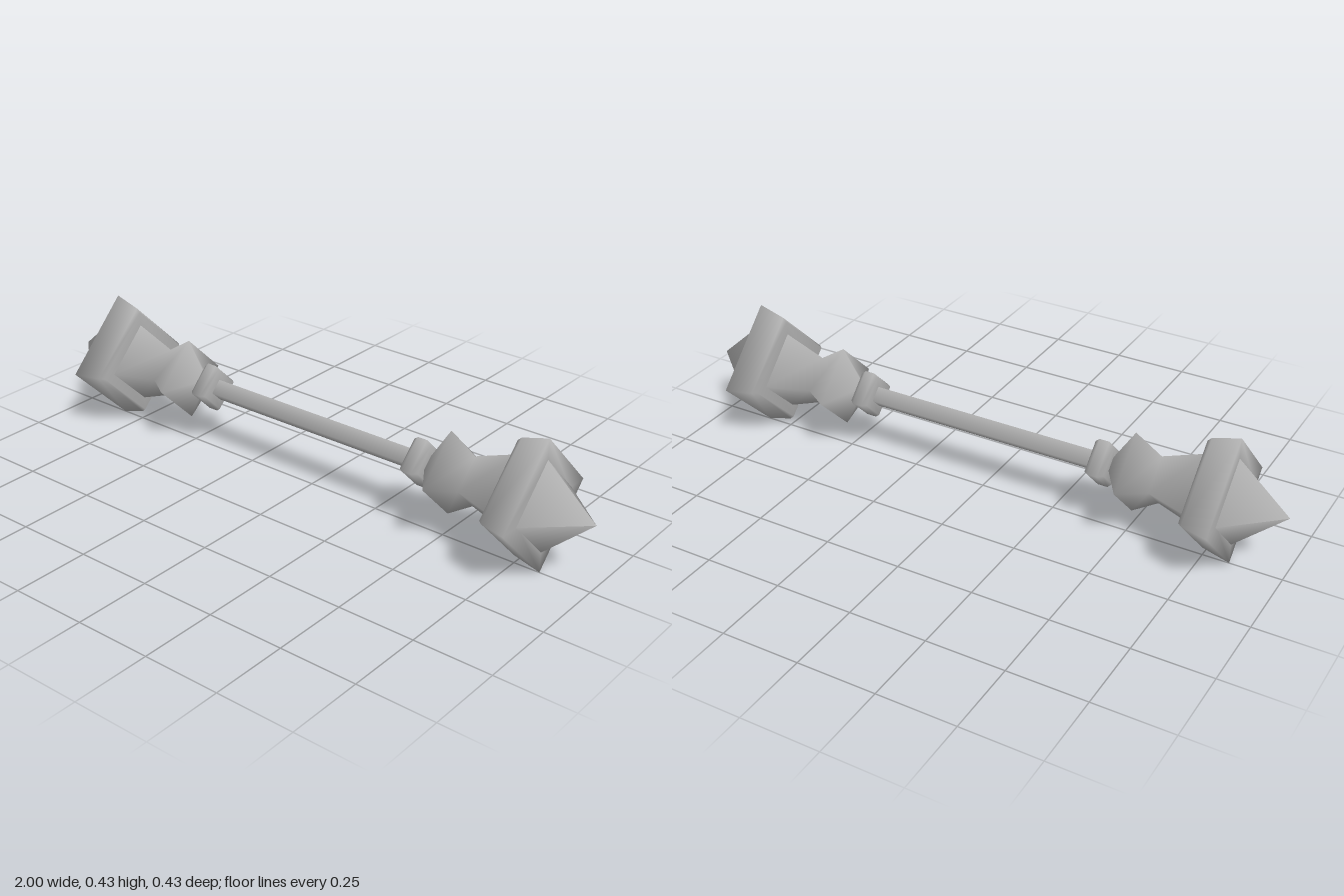
import * as THREE from 'three';

const AXIS_Y = 0.215;

export function createModel() {
  const model = new THREE.Group();
  model.name = 'doubleHeadedMace';
  const metal = new THREE.MeshStandardMaterial({ color: 0xb0b0b0 });
  metal.name = 'grey metal';

  // Four-sided smooth turning along +x, from [x, radius] pairs
  const turn = (name, profile) => {
    const points = profile.map(([x, r]) => new THREE.Vector2(r, x));
    const geometry = new THREE.LatheGeometry(points, 4);
    geometry.rotateZ(-Math.PI / 2);
    const mesh = new THREE.Mesh(geometry, metal);
    mesh.name = name;
    return mesh;
  };

  // Shaft between the two heads
  const handle = turn('handle', [[-0.4, 0.035], [0.4, 0.035]]);
  handle.position.y = AXIS_Y;
  model.add(handle);

  // The same head at both ends
  for (const [name, angle] of [['leftHead', 0], ['rightHead', Math.PI]]) {
    const head = new THREE.Group();
    head.name = name;
    head.add(
      turn('ring', [[0.385, 0.03], [0.387, 0.07], [0.4, 0.08], [0.432, 0.08], [0.447, 0.065], [0.447, 0.02]]),
      turn('neck', [[0.44, 0.02], [0.515, 0.137], [0.6, 0.082], [0.74, 0.135]]),
      turn('collar', [[0.735, 0.1], [0.735, 0.178], [0.748, 0.19], [0.835, 0.215], [0.835, 0.14]]),
      turn('tip', [[0.83, 0.153], [1, 0]])
    );
    head.position.y = AXIS_Y;
    head.rotation.y = angle;
    model.add(head);
  }
  return model;
}
